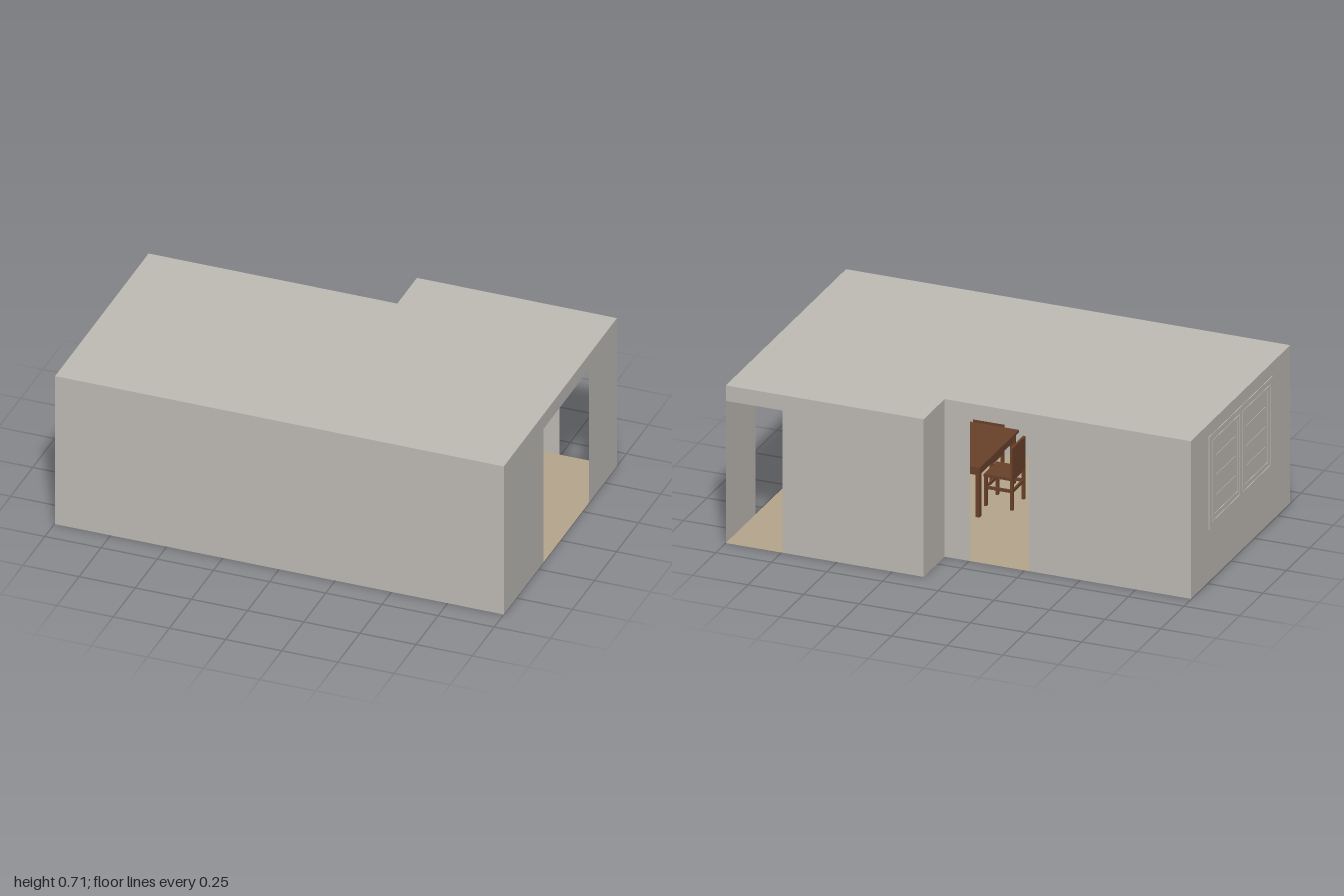
import * as THREE from 'three';

const mat = (name, color, side = THREE.FrontSide) => {
  const m = new THREE.MeshStandardMaterial({ color, side });
  m.name = name;
  return m;
};

export function createModel() {
  const model = new THREE.Group();
  model.name = 'diningKitchen';
  const plaster = mat('plaster', 0xbfbbb5, THREE.DoubleSide);
  const floorTan = mat('floorTan', 0xb6a58c, THREE.DoubleSide);
  const cabinetTan = mat('cabinetTan', 0xbaa58a);
  const wood = mat('wood', 0x69412a);
  const blue = mat('blueEnamel', 0x586885);

  const group = (name, parent = model) => {
    const g = new THREE.Group();
    g.name = name;
    parent.add(g);
    return g;
  };
  // box given by its low and high corners
  const box = (parent, name, m, x0, x1, y0, y1, z0, z1) => {
    const mesh = new THREE.Mesh(new THREE.BoxGeometry(x1 - x0, y1 - y0, z1 - z0), m);
    mesh.position.set((x0 + x1) / 2, (y0 + y1) / 2, (z0 + z1) / 2);
    mesh.name = name;
    parent.add(mesh);
    return mesh;
  };

  const H = 0.715, DOOR = 0.645, F = 0.642, B = -0.643, N = -0.42, L = -0.997, R = 1, S = 0.11;

  // Floor and ceiling share the L-shaped plan
  const plan = new THREE.Shape(
    [[L, F], [R, F], [R, B], [S, B], [S, N], [L, N]].map(([x, z]) => new THREE.Vector2(x, z)));
  const slab = (name, m, y) => {
    const mesh = new THREE.Mesh(new THREE.ShapeGeometry(plan).rotateX(Math.PI / 2), m);
    mesh.position.y = y;
    mesh.name = name;
    model.add(mesh);
  };
  slab('floor', floorTan, 0);
  slab('ceiling', plaster, H);

  // Thin wall from (x0,z0) to (x1,z1), with an optional doorway [start, end] along it
  const wall = (name, x0, z0, x1, z1, door) => {
    const len = Math.hypot(x1 - x0, z1 - z0);
    const pts = [[0, 0]];
    if (door) {
      pts.push([door[0], 0], [door[0], DOOR], [door[1], DOOR]);
      pts.push([door[1], 0]);
    }
    pts.push([len, 0], [len, H], [0, H]);
    const clean = pts.filter((p, i) => i === 0 || p[0] !== pts[i - 1][0] || p[1] !== pts[i - 1][1]);
    const shape = new THREE.Shape(clean.map(p => new THREE.Vector2(...p)));
    const mesh = new THREE.Mesh(new THREE.ShapeGeometry(shape), plaster);
    mesh.position.set(x0, 0, z0);
    mesh.rotation.y = -Math.atan2(z1 - z0, x1 - x0);
    mesh.name = name;
    model.add(mesh);
  };
  wall('frontWall', L, F, R, F);
  wall('leftWall', R, F, R, B, [F - 0.19, F + 0.325]);
  wall('alcoveBackWall', S, B, R, B, [0.745 - S, R - S - 0.001]);
  wall('alcoveSideWall', S, N, S, B);
  wall('mainBackWall', L, N, S, N, [-0.27 - L, -0.005 - L]);
  wall('rightWall', L, N, L, F);

  // Double window in the right wall
  const win = group('window');
  const frame = (name, z0, z1, y0, y1, w, x0, x1) => {
    box(win, name, plaster, x0, x1, y0, y0 + w, z0, z1);
    box(win, name, plaster, x0, x1, y1 - w, y1, z0, z1);
    box(win, name, plaster, x0, x1, y0 + w, y1 - w, z0, z0 + w);
    box(win, name, plaster, x0, x1, y0 + w, y1 - w, z1 - w, z1);
  };
  frame('windowFrame', -0.23, 0.455, 0.235, 0.655, 0.025, -1, -0.98);
  box(win, 'mullion', plaster, -1, -0.98, 0.26, 0.63, 0.1, 0.125);
  for (const [z0, z1] of [[-0.19, 0.095], [0.13, 0.415]]) {
    frame('sash', z0, z1, 0.27, 0.625, 0.015, -0.9995, -0.985);
    for (const y of [0.36, 0.45, 0.54])
      box(win, 'glazingBar', plaster, -0.999, -0.99, y, y + 0.005, z0 + 0.04, z1 - 0.04);
  }

  // Dining table
  const table = group('table');
  box(table, 'tableTop', wood, 0.12, 0.76, 0.227, 0.237, -0.02, 0.4);
  const tx = [0.14, 0.74], tz = [0.005, 0.375];
  for (const x of tx) {
    box(table, 'apron', wood, x - 0.006, x + 0.006, 0.19, 0.227, tz[0], tz[1]);
    for (const z of tz) box(table, 'tableLeg', wood, x - 0.01, x + 0.01, 0, 0.227, z - 0.002, z + 0.018);
  }
  for (const z of tz) box(table, 'apron', wood, tx[0], tx[1], 0.19, 0.227, z, z + 0.012);

  // Chair, back at local z = 0, seat reaching towards +z
  const chair = (x, z, turn) => {
    const c = group('chair');
    const w = 0.069;
    box(c, 'backPanel', wood, -w, w, 0.135, 0.282, -0.005, 0.005);
    box(c, 'seat', wood, -w, w, 0.133, 0.145, -0.005, 0.125);
    for (const s of [-1, 1]) {
      const a = s * (w - 0.007);
      for (const lz of [0, 0.118])
        box(c, 'chairLeg', wood, a - 0.007, a + 0.007, 0, 0.135, lz - 0.006, lz + 0.006);
      box(c, 'sideRail', wood, a - 0.004, a + 0.004, 0.077, 0.09, 0, 0.118);
    }
    for (const lz of [0, 0.118])
      box(c, 'crossRail', wood, -w + 0.01, w - 0.01, 0.077, 0.09, lz - 0.004, lz + 0.004);
    c.position.set(x, 0, z);
    c.rotation.y = turn;
  };
  for (const x of [0.29, 0.59]) {
    chair(x, -0.1, 0);
    chair(x, 0.48, Math.PI);
  }
  chair(0.843, 0.19, -Math.PI / 2);
  chair(0.037, 0.19, Math.PI / 2);

  // Tall tan cabinet filling the alcove
  const cab = group('alcoveCabinet');
  box(cab, 'cabinetBody', cabinetTan, 0.115, 0.62, 0, 0.596, -0.64, -0.42);
  for (const [y0, y1] of [[0.015, 0.22], [0.23, 0.585]])
    for (const x of [0.125, 0.372])
      box(cab, 'cabinetDoor', cabinetTan, x, x + 0.238, y0, y1, -0.42, -0.413);

  // Corner refrigerator facing into the room
  const fridge = group('refrigerator');
  box(fridge, 'fridgeBody', blue, -0.97, -0.72, 0, 0.55, -0.415, -0.18);
  for (const [y0, y1] of [[0.01, 0.21], [0.22, 0.548]])
    box(fridge, 'fridgeDoor', blue, -0.72, -0.71, y0, y1, -0.415, -0.18);
  box(fridge, 'handle', blue, -0.71, -0.695, 0.25, 0.5, -0.208, -0.2);
  box(fridge, 'drawerHandle', blue, -0.71, -0.695, 0.18, 0.19, -0.38, -0.22);

  // Counter under the window
  const counter = group('counter');
  box(counter, 'counterBase', plaster, -0.98, -0.76, 0.015, 0.228, -0.175, 0.62);
  box(counter, 'counterTop', plaster, -0.98, -0.74, 0.228, 0.248, -0.178, 0.62);
  for (const z of [-0.165, 0.095, 0.355])
    box(counter, 'counterDoor', plaster, -0.76, -0.753, 0.025, 0.218, z, z + 0.245);

  // Hanging lamp
  const lamp = group('hangingLamp');
  const rod = new THREE.Mesh(new THREE.CylinderGeometry(0.004, 0.004, H - 0.46, 10), plaster);
  rod.position.set(-0.55, (H + 0.46) / 2, 0.115);
  rod.name = 'lampRod';
  lamp.add(rod);
  box(lamp, 'lampBar', plaster, -0.7, -0.4, 0.458, 0.463, 0.05, 0.18);
  for (const x of [-0.63, -0.55, -0.47]) {
    const bulb = new THREE.Mesh(new THREE.SphereGeometry(0.01, 12, 8), plaster);
    bulb.position.set(x, 0.452, 0.115);
    bulb.name = 'bulb';
    lamp.add(bulb);
  }
  return model;
}
